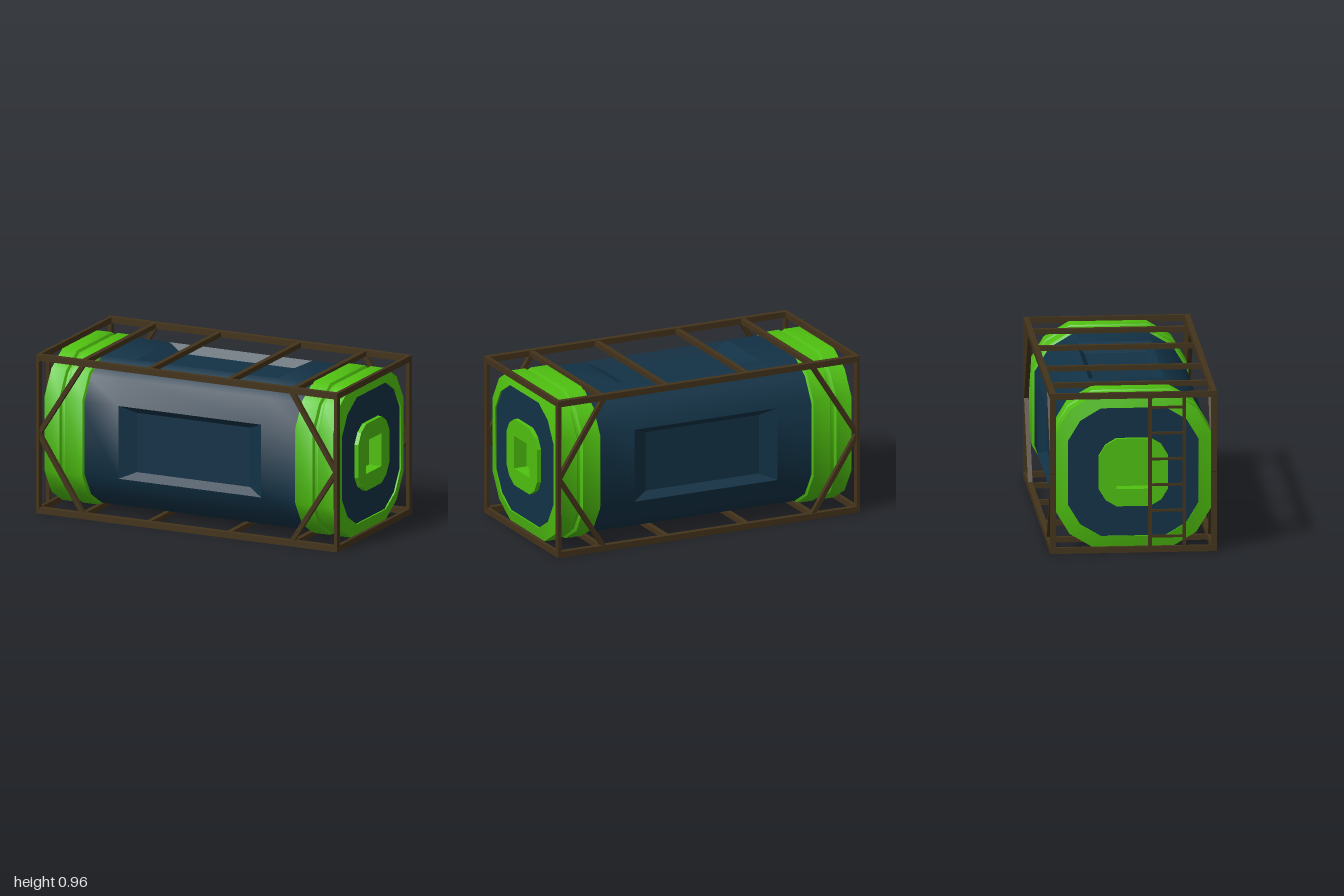
import * as THREE from 'three';
import { toCreasedNormals } from 'three/addons/utils/BufferGeometryUtils.js';

const mat = (color) => new THREE.MeshStandardMaterial({ color });
const CX = 0.0125, CY = 0.482;

// Twelve-sided unit section as [y, z]; every third edge is a broad flat
const SECTION = [];
for (let k = 0; k < 4; k++) {
  for (let [a, b] of [[1, -0.494], [1, 0.494], [0.81, 0.81]]) {
    for (let n = 0; n < k; n++) [a, b] = [-b, a];
    SECTION.push([a, b]);
  }
}

function quadGeometry(quads, crease) {
  const pos = [];
  for (const [a, b, c, d] of quads) pos.push(...a, ...b, ...c, ...a, ...c, ...d);
  const g = new THREE.BufferGeometry();
  g.setAttribute('position', new THREE.Float32BufferAttribute(pos, 3));
  return toCreasedNormals(g, crease);
}

// Sweep the section along x through [x, radius] pairs
function loft(profile, skip = () => false) {
  const quads = [];
  const pt = ([x, r], i) => [x, SECTION[i % 12][0] * r, SECTION[i % 12][1] * r];
  for (let s = 0; s + 1 < profile.length; s++) {
    for (let i = 0; i < 12; i++) {
      if (skip(s, i)) continue;
      const p = profile[s], q = profile[s + 1];
      quads.push([pt(p, i), pt(p, i + 1), pt(q, i + 1), pt(q, i)]);
    }
  }
  return quadGeometry(quads, 0.6);
}

function sectionPoints(r) {
  return SECTION.map(([a, b]) => new THREE.Vector2(a * r, b * r));
}

// Sunken panel with sloping walls, facing +y
function panelGeometry() {
  const corners = [[1, 1], [1, -1], [-1, -1], [-1, 1]];
  const outer = corners.map(([x, z]) => [x * 0.4675, 0.447, z * 0.221]);
  const inner = corners.map(([x, z]) => [x * 0.37, 0.4, z * 0.18]);
  const quads = [inner];
  for (let i = 0; i < 4; i++) {
    const j = (i + 1) % 4;
    quads.push([outer[i], outer[j], inner[j], inner[i]]);
  }
  return quadGeometry(quads, 0.2);
}

export function createModel() {
  const model = new THREE.Group();
  const green = mat(0x4fc010), blue = mat(0x123246), brown = mat(0x43331b);

  const add = (parent, name, geo, material) => {
    const m = new THREE.Mesh(geo, material);
    m.name = name;
    parent.add(m);
    return m;
  };

  // Tank body with four sunken panels
  const tank = new THREE.Group();
  tank.name = 'tank';
  tank.position.set(CX, CY, 0);
  model.add(tank);
  const R = 0.447;
  add(tank, 'tankBody',
    loft([[-0.72, R], [-0.4675, R], [0.4675, R], [0.72, R]], (s, i) => s === 1 && i % 3 === 0), blue);
  const panel = panelGeometry();
  for (let k = 0; k < 4; k++) add(tank, 'sunkenPanel', panel, blue).rotation.x = k * Math.PI / 2;

  // End caps: grooved collar, recessed end plate and socketed hub
  const collar = loft([
    [0.685, 0.44], [0.698, 0.46], [0.81, 0.46], [0.82, 0.445], [0.838, 0.445],
    [0.848, 0.46], [0.945, 0.46], [0.966, 0.385], [0.955, 0.385],
  ]);
  const plateShape = new THREE.Shape(sectionPoints(0.386));
  plateShape.holes.push(new THREE.Path(sectionPoints(0.2)));
  const hubShape = new THREE.Shape(sectionPoints(0.203));
  const h = 0.1;
  hubShape.holes.push(new THREE.Path(
    [[-h, -h], [-h, h], [h, h], [h, -h]].map(([x, y]) => new THREE.Vector2(x, y))));
  const plate = new THREE.ShapeGeometry(plateShape).rotateY(Math.PI / 2).translate(0.956, 0, 0);
  const hub = new THREE.ExtrudeGeometry(hubShape, { depth: 0.11, bevelEnabled: false })
    .rotateY(Math.PI / 2).translate(0.872, 0, 0);
  const floor = new THREE.BoxGeometry(0.02, 0.21, 0.21).translate(0.89, 0, 0);
  for (const turn of [0, Math.PI]) {
    const cap = new THREE.Group();
    cap.name = 'endCap';
    cap.rotation.y = turn;
    tank.add(cap);
    add(cap, 'collar', collar, green);
    add(cap, 'endPlate', plate, blue);
    add(cap, 'hub', hub, green);
    add(cap, 'hubSocketFloor', floor, green);
  }

  // Outer frame of beams
  const frame = new THREE.Group();
  frame.name = 'frame';
  model.add(frame);
  const beam = (name, w, hgt, d, x, y, z) => {
    const m = add(frame, name, new THREE.BoxGeometry(w, hgt, d), brown);
    m.position.set(x, y, z);
    return m;
  };
  const T = 0.036, LOW = T / 2, HIGH = 0.963 - T / 2, Z = 0.473, HALF = 0.9875;
  for (const y of [LOW, HIGH]) {
    for (const s of [-1, 1]) {
      beam('longBeam', 2 * HALF, T, 0.034, CX, y, s * Z);
      beam('endBeam', 0.022, T, 2 * Z, CX + s * (HALF - 0.011), y, 0);
    }
    for (const x of [-0.69, -0.262, 0.262, 0.69]) {
      beam('crossBeam', 0.03, 0.03, 2 * Z, CX + x, y, 0);
    }
  }
  for (const sx of [-1, 1]) {
    for (const sz of [-1, 1]) {
      beam('cornerPost', 0.022, 0.963 - T, 0.034, CX + sx * (HALF - 0.011), 0.4815, sz * Z);
      // Braces run from the middle of each post to the long beams
      for (const sy of [-1, 1]) {
        const dx = -sx * 0.285, dy = sy * 0.445;
        const b = beam('brace', Math.hypot(dx, dy) + 0.01, 0.027, 0.027,
          CX + sx * 0.974 + dx / 2, 0.4815 + dy / 2, sz * Z);
        b.rotation.z = Math.atan2(dy, dx);
      }
    }
  }

  // Ladder on the right-hand end
  const ladder = new THREE.Group();
  ladder.name = 'ladder';
  model.add(ladder);
  for (const z of [0.095, 0.297]) {
    add(ladder, 'ladderRail', new THREE.BoxGeometry(0.022, 0.945, 0.02), brown).position.set(-0.989, 0.482, z);
  }
  for (let i = 0; i < 6; i++) {
    add(ladder, 'ladderRung', new THREE.BoxGeometry(0.014, 0.014, 0.2), brown)
      .position.set(-0.989, 0.1 + i * 0.155, 0.196);
  }
  return model;
}
